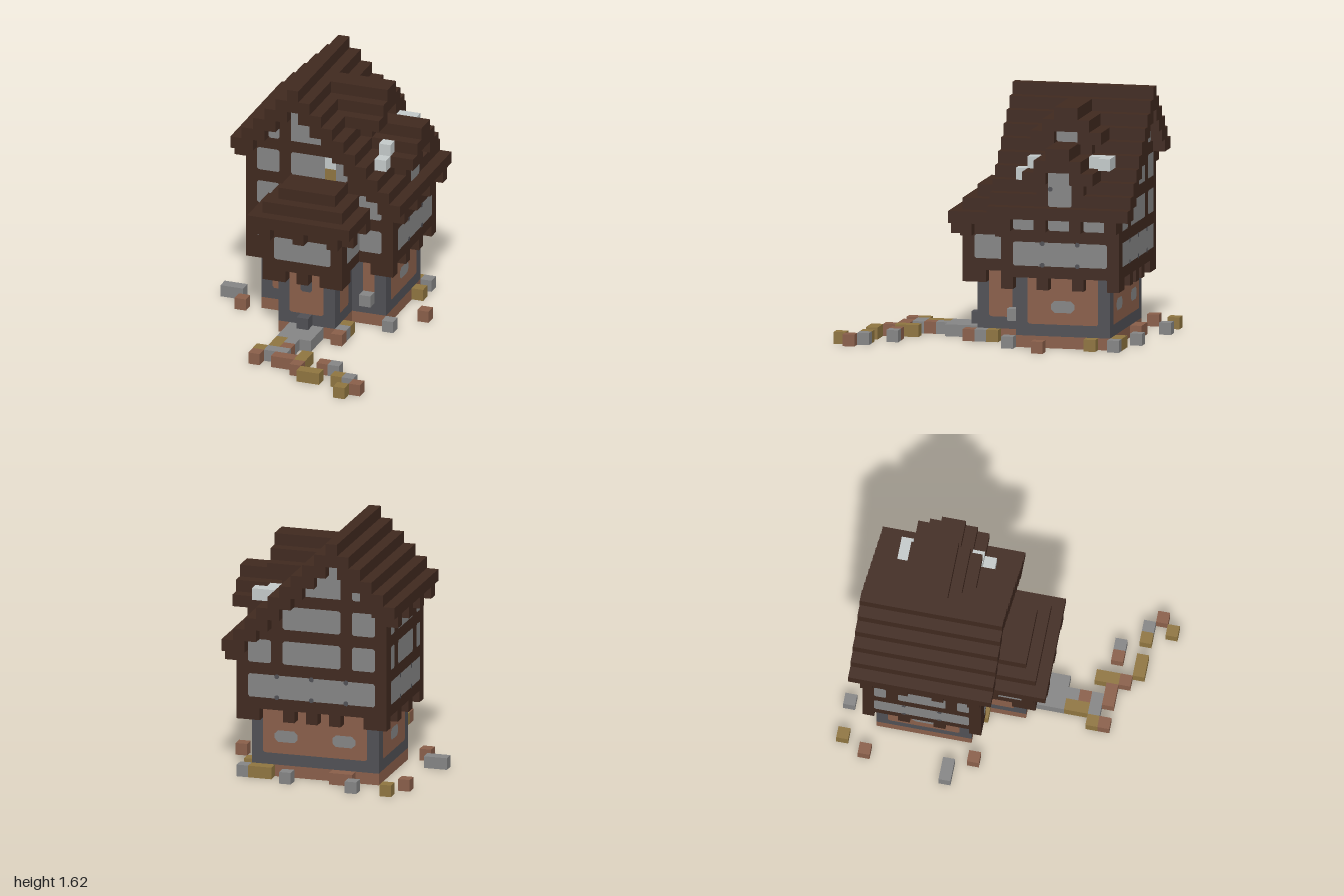
import * as THREE from 'three';

const U = 1 / 13; // one block
const material = (name, color) => {
  const m = new THREE.MeshStandardMaterial({ color });
  m.name = name;
  return m;
};

export function createModel() {
  const model = new THREE.Group();
  model.name = 'timberHouse';
  const wood = material('darkTimber', 0x40291f);
  const stone = material('darkStone', 0x505055);
  const brick = material('brick', 0x8a5f4a);
  const grey = material('paleGrey', 0x858585);
  const gold = material('straw', 0x8f7540);
  const white = material('white', 0xc4caca);

  const part = (name) => {
    const g = new THREE.Group();
    g.name = name;
    model.add(g);
    return g;
  };

  // Box given by its two corners, counted in blocks
  const box = (group, mat, x0, y0, z0, x1, y1, z1) => {
    const geo = new THREE.BoxGeometry((x1 - x0) * U, (y1 - y0) * U, (z1 - z0) * U);
    geo.translate(((x0 + x1) / 2) * U, ((y0 + y1) / 2) * U, ((z0 + z1) / 2) * U);
    const mesh = new THREE.Mesh(geo, mat);
    mesh.name = group.name + 'Block';
    group.add(mesh);
  };
  const cube = (group, mat, x, y, z) => box(group, mat, x, y, z, x + 1, y + 1, z + 1);

  // Flat face on a wall: points are (x or z, y) in blocks, at is the wall plane
  const TURN = { front: 0, back: Math.PI, left: Math.PI / 2, right: -Math.PI / 2 };
  const plate = (group, mat, side, at, points, lift = 0.004) => {
    const flip = side === 'back' || side === 'left' ? -1 : 1;
    const out = side === 'back' || side === 'right' ? -1 : 1;
    const shape = new THREE.Shape(points.map(([a, b]) => new THREE.Vector2(a * flip * U, b * U)));
    const geo = new THREE.ShapeGeometry(shape);
    geo.translate(0, 0, out * at * U + lift);
    geo.rotateY(TURN[side]);
    const mesh = new THREE.Mesh(geo, mat);
    mesh.name = group.name + 'Panel';
    group.add(mesh);
  };
  // Rectangle with clipped corners
  const panel = (group, mat, side, at, a0, b0, a1, b1, c = 0.15, lift) =>
    plate(group, mat, side, at, [
      [a0 + c, b0], [a1 - c, b0], [a1, b0 + c], [a1, b1 - c],
      [a1 - c, b1], [a0 + c, b1], [a0, b1 - c], [a0, b0 + c],
    ], lift);

  // Brick foundation and stone ground floor
  const foundation = part('foundation');
  box(foundation, brick, -5, 0, -10, 6, 1, -2);
  box(foundation, brick, -2, 0, -2, 3, 1, 2);
  const ground = part('groundFloor');
  box(ground, stone, -5, 1, -10, 6, 6, -2);
  box(ground, stone, -2, 1, -2, 3, 6, 2);
  box(ground, stone, 0, 1, 2, 1, 2, 3);

  const infill = part('brickInfill');
  panel(infill, brick, 'front', -2, -4, 2, -3, 6);
  panel(infill, brick, 'front', -2, 4, 2, 5, 6);
  panel(infill, brick, 'front', 2, -1, 2, 2, 6);
  panel(infill, stone, 'front', 2, 0, 4, 1, 6, 0.15, 0.007);
  panel(infill, brick, 'left', 3, -1, 2, 1, 6);
  panel(infill, brick, 'right', -2, -1, 2, 1, 6);
  panel(infill, brick, 'left', 6, -9, 2, -3, 6);
  panel(infill, brick, 'right', -5, -9, 2, -3, 6);
  panel(infill, brick, 'back', -10, -4, 2, 5, 6);

  const smallWindows = part('groundWindow');
  panel(smallWindows, grey, 'left', 6, -7, 3, -5, 4, 0.3, 0.007);
  panel(smallWindows, grey, 'right', -5, -7, 3, -5, 4, 0.3, 0.007);
  for (const x of [-3, 2]) panel(smallWindows, grey, 'back', -10, x, 3, x + 2, 4, 0.3, 0.007);
  cube(smallWindows, grey, 4, 2, -2);

  // Upper walls and stepped main roof, one column at a time
  const walls = part('upperWall');
  const roof = part('mainRoof');
  for (let x = -7; x <= 7; x++) {
    const top = 21 - Math.abs(x + 2);
    const eave = Math.abs(x) === 7;
    box(roof, wood, x, top - (eave ? 1 : 2), -12, x + 1, top, 0);
    if (!eave) box(walls, wood, x, 6, -11, x + 1, top - 2, -1);
  }

  // Front bay with hipped roof
  const bay = part('frontBay');
  box(bay, wood, -3, 6, -1, 4, 10, 3);
  for (let i = 0; i < 3; i++) box(bay, wood, -4 + i, 10 + i, -1, 5 - i, 11 + i, 4 - i);

  // Brackets under the overhangs
  const brackets = part('bracket');
  for (const z of [-11, -8, -5, -2]) {
    cube(brackets, wood, -6, 5, z);
    cube(brackets, wood, 6, 5, z);
    cube(brackets, wood, 7, 10, z);
    cube(brackets, wood, -7, 14, z);
  }
  for (const x of [-5, -3, 5]) cube(brackets, wood, x, 5, -2);
  for (const x of [-5, -2, 0, 2, 5]) cube(brackets, wood, x, 5, -11);
  for (const x of [-2, 0, 2]) cube(brackets, wood, x, 5, 2);
  for (const x of [-3, 3]) for (const z of [1, 2]) cube(brackets, wood, x, 5, z);
  for (const x of [-3, 0, 3]) cube(brackets, wood, x, 9, 3);
  for (const x of [-4, 4]) for (const z of [-1, 2]) cube(brackets, wood, x, 9, z);

  // Two stacked dormers on the long slope
  const dormer = (name, ridge, x0, x1, base) => {
    const g = part(name);
    for (let z = -9; z <= -4; z++) {
      const d = Math.max(z + 6, -7 - z); // steps away from the ridge
      const top = ridge - d;
      box(g, wood, x0 + d, top - (d === 2 ? 1 : 2), z, x1, top, z + 1);
      if (d < 2) box(g, wood, x0, base, z, x1 - 1, top - 2, z + 1);
    }
  };
  dormer('upperDormer', 20, 0, 5, 13);
  dormer('lowerDormer', 17, 3, 8, 10);

  // Upper windows
  const win = part('window');
  const pane = (side, at, a0, b0, a1, b1) => panel(win, grey, side, at, a0, b0, a1, b1);
  for (const y of [7, 10]) {
    pane('front', -1, -5, y, -3, y + 2);
    pane('front', -1, 4, y, 6, y + 2);
  }
  pane('front', 3, -2, 7, 3, 9);
  pane('left', 4, -1, 7, 2, 9);
  pane('right', -3, -1, 7, 2, 9);
  pane('back', -11, -5, 7, 6, 9);
  for (const [x0, x1] of [[-5, -3], [-2, 3], [4, 6]]) pane('back', -11, x0, 10, x1, 12);
  for (const [side, at] of [['front', -1], ['back', -11]]) {
    pane(side, at, -5, 13, -3, 15);
    pane(side, at, -2, 13, 3, 15);
    pane(side, at, -4, 16, -3, 17);
    plate(win, grey, side, at,
      [[-2, 16], [1, 16], [1, 17], [0, 17], [0, 18], [-1, 18], [-1, 19], [-2, 19]]);
  }
  pane('left', 7, -10, 7, -2, 9);
  pane('right', -6, -10, 7, -2, 9);
  for (const z of [-10, -7, -4]) pane('left', 7, z, 10, z + 2, 11);
  for (const [z0, z1] of [[-10, -9], [-8, -4], [-3, -2]])
    for (const y of [10, 13]) pane('right', -6, z0, y, z1, y + 2);
  pane('left', 7, -7, 12, -5, 15);
  pane('left', 4, -7, 17, -5, 18);

  // Small dark studs on the window edges
  const studs = part('windowStud');
  const stud = (side, at, a, b) => panel(studs, stone, side, at, a - 0.2, b - 0.2, a + 0.2, b + 0.2, 0.12, 0.007);
  for (const y of [7.1, 8.9]) {
    for (const z of [-7.5, -4.5]) {
      stud('left', 7, z, y);
      stud('right', -6, z, y);
    }
    for (const x of [-2.5, 0.5, 3.5]) stud('back', -11, x, y);
  }
  stud('left', 7, -5.2, 13.5);

  // Loose blocks on the roof, and two painted cells in the front window
  const loose = part('looseBlock');
  for (const [x, y, z] of [[5, 15, -4], [5, 14, -3], [4, 15, -9], [4, 15, -10], [5, 15, -10]])
    cube(loose, white, x, y, z);
  panel(loose, white, 'front', -1, 1, 14, 2, 15, 0.01, 0.007);
  panel(loose, gold, 'front', -1, 1, 13, 2, 14, 0.01, 0.007);

  // Path and rubble on the ground: x, z, width, depth
  const paving = part('pathAndRubble');
  const layer = (mat, list) => {
    for (const [x, z, w = 1, d = 1] of list) box(paving, mat, x, 0, z, x + w, 1, z + d);
  };
  layer(grey, [
    [-1, 2, 3, 3], [0, 5], [-1, 7, 2], [5, 8], [7, 10], [-9, -4, 2], [-4, -13],
    [6, -2], [6, -11], [3, 1], [2, -12],
  ]);
  layer(gold, [
    [-1, 5, 1, 2], [-2, 7], [2, 7, 1, 2], [3, 10, 2], [6, 10], [7, 12], [-7, -13],
    [6, -9], [3, 0], [-3, -2], [4, -11, 2],
  ]);
  layer(brick, [
    [0, 6], [-2, 8], [0, 8, 2], [2, 9], [4, 8], [8, 11], [8, -5], [-8, -11],
    [3, 2], [-7, -2], [-3, -11, 2],
  ]);

  return model;
}
